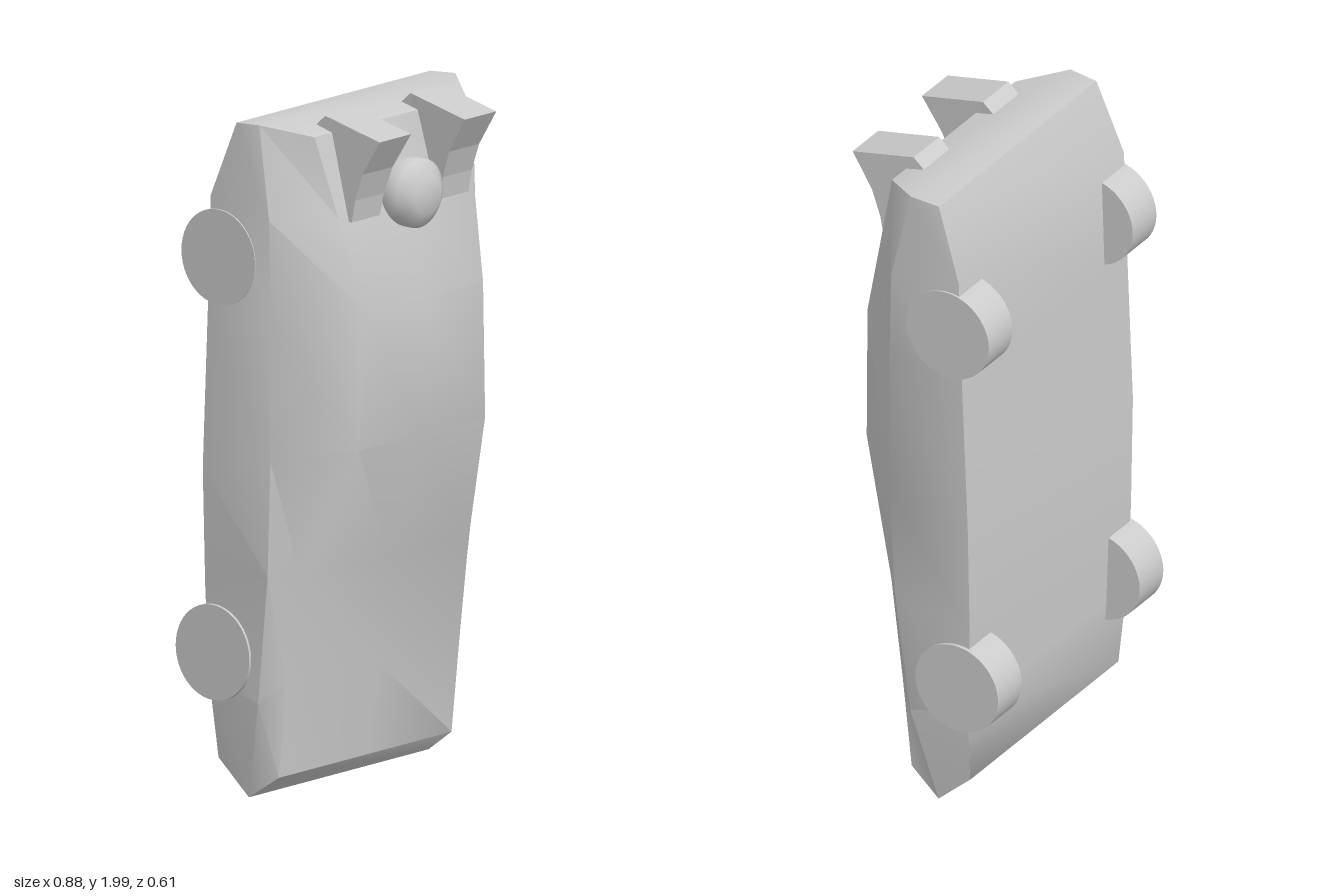
import * as THREE from 'three';
import { toCreasedNormals } from 'three/addons/utils/BufferGeometryUtils.js';

const material = new THREE.MeshStandardMaterial({ color: 0xcccccc, side: THREE.DoubleSide });

// Stations from nose to tail: sill, waist and roof edge as [x, y, z], then the crown of the centre line
const stations = [
  [[0.39, 0.11, -0.18], [0.385, 0.01, -0.07], [0.37, 0.08, 0.03], 0],
  [[0.42, 0.35, -0.19], [0.425, 0.3, 0.0], [0.37, 0.36, 0.06], 0.015],
  [[0.425, 0.62, -0.2], [0.435, 0.68, 0.045], [0.36, 0.67, 0.105], 0.015],
  [[0.435, 0.96, -0.2], [0.44, 1.02, 0.06], [0.27, 1.05, 0.245], 0],
  [[0.435, 1.45, -0.18], [0.44, 1.45, 0.06], [0.25, 1.45, 0.255], 0],
  [[0.435, 1.76, -0.17], [0.44, 1.72, 0.055], [0.29, 1.72, 0.185], 0],
  [[0.415, 1.98, -0.09], [0.42, 1.987, 0], [0.325, 1.955, 0.125], 0],
];

function mesh(name, geometry) {
  const m = new THREE.Mesh(geometry, material);
  m.name = name;
  return m;
}

// Car shell lofted through the mirrored stations
function bodyGeometry() {
  const mirror = ([x, y, z]) => [-x, y, z];
  const rings = stations.map(([s, w, r, crown]) =>
    [s, w, r, [0, r[1], r[2] + crown], mirror(r), mirror(w), mirror(s)]);
  const positions = [];
  const quad = (a, b, c, d) => positions.push(...a, ...b, ...c, ...a, ...c, ...d);
  for (let i = 0; i < rings.length - 1; i++) {
    const p = rings[i], q = rings[i + 1];
    for (let j = 0; j < 7; j++) {
      const k = (j + 1) % 7;
      quad(p[j], q[j], q[k], p[k]);
    }
  }
  // Folded nose and tail panels
  const nose = rings[0], tail = rings[rings.length - 1];
  for (let j = 0; j < 2; j++) {
    quad(nose[j], nose[j + 1], nose[5 - j], nose[6 - j]);
    quad(tail[6 - j], tail[5 - j], tail[j + 1], tail[j]);
  }
  const g = new THREE.BufferGeometry();
  g.setAttribute('position', new THREE.Float32BufferAttribute(positions, 3));
  return toCreasedNormals(g, 0.85);
}

// Angled booster with an inner face that narrows downwards
function boosterGeometry(side) {
  const shape = new THREE.Shape([
    [0.305, 1.955], [0.1, 2.0], [0.06, 1.965], [0.12, 1.705], [0.2, 1.705], [0.212, 1.77], [0.24, 1.85],
  ].map(([z, y]) => new THREE.Vector2(-z, y)));
  const g = new THREE.ExtrudeGeometry(shape, { depth: 0.135, bevelEnabled: false });
  g.rotateY(Math.PI / 2);
  g.translate(side > 0 ? 0.115 : -0.25, 0, 0);
  const p = g.attributes.position;
  for (let i = 0; i < p.count; i++) {
    if (Math.abs(p.getX(i)) < 0.2) {
      p.setX(i, side * (0.115 + 0.015 * Math.max(0, (1.955 - p.getY(i)) / 0.25)));
    }
  }
  g.computeVertexNormals();
  return g;
}

export function createModel() {
  const model = new THREE.Group();
  model.name = 'car';
  model.add(mesh('body', bodyGeometry()));

  for (const side of [1, -1]) {
    const label = side > 0 ? 'left' : 'right';

    // Wheels
    for (const [name, x, y, z] of [
      ['RearWheel', 0.379, 1.585, -0.136],
      ['FrontWheel', 0.373, 0.427, -0.163],
    ]) {
      const wheel = mesh(label + name, new THREE.CylinderGeometry(0.139, 0.139, 0.125, 48));
      wheel.rotation.z = Math.PI / 2;
      wheel.position.set(side * x, y, z);
      model.add(wheel);
    }

    model.add(mesh(label + 'Booster', boosterGeometry(side)));
  }

  // Round pod between the boosters
  const profile = [[0, 0.27], [0.055, 0.27], [0.1, 0.235], [0.1, 0.175], [0.085, 0.157], [0, 0.15]];
  const pod = mesh('pod', new THREE.LatheGeometry(
    profile.map(([r, z]) => new THREE.Vector2(r, z)).reverse(), 40));
  pod.rotation.x = Math.PI / 2;
  pod.position.y = 1.75;
  model.add(pod);

  return model;
}
